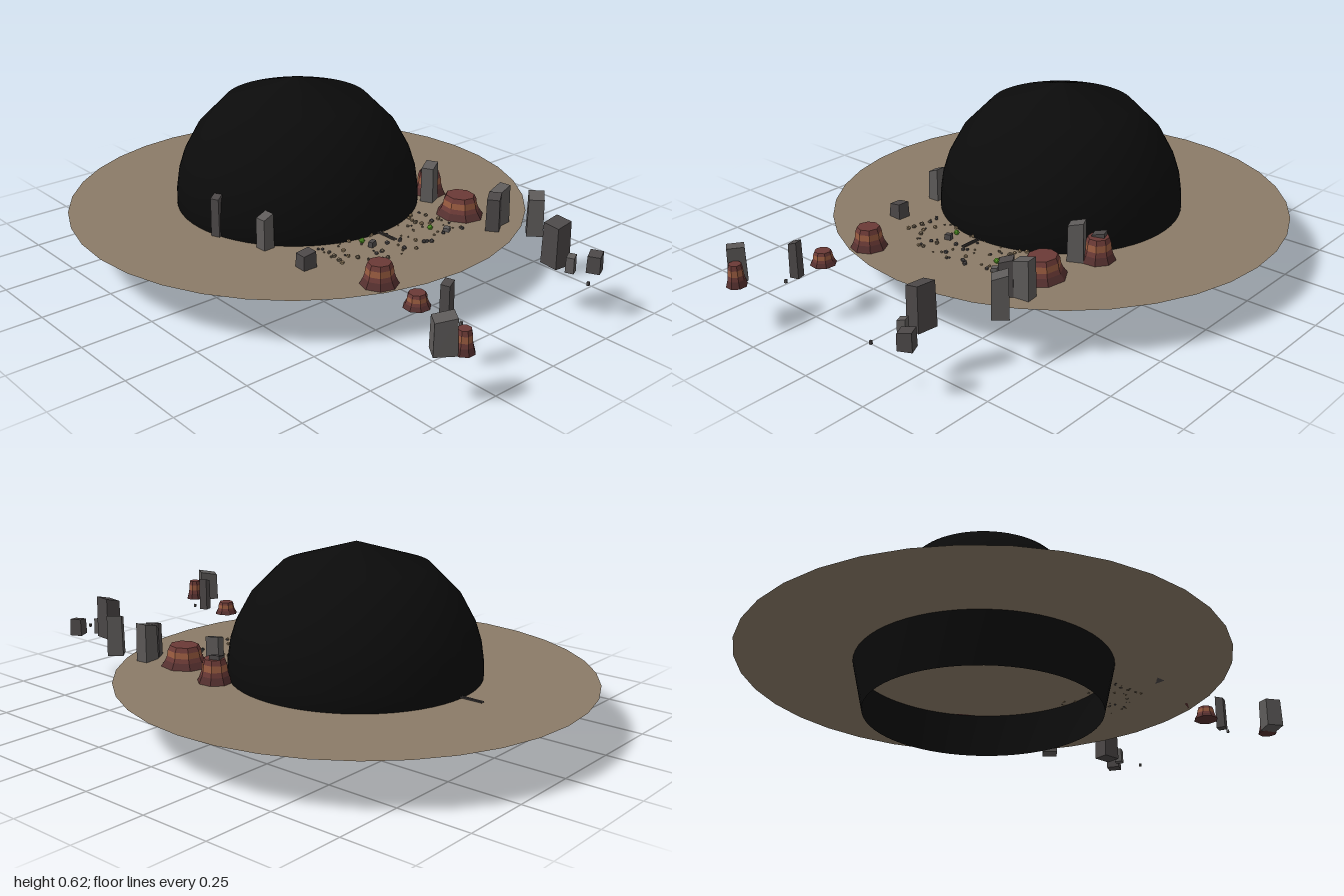
import * as THREE from 'three';

const GROUND = 0.166;

const paint = (color, flat = true, double = false) => new THREE.MeshStandardMaterial({
  color, flatShading: flat, side: double ? THREE.DoubleSide : THREE.FrontSide,
});

const sand = paint(0x8b7b67, false, true);
const black = paint(0x0b0b0b, false, true);
const stone = [paint(0x4b4747), paint(0x5d5a59)];
const redRock = paint(0x6b3a36);
const darkRed = paint(0x55302f);
const orangeRock = paint(0x9a5c40);
const pebbleMats = [paint(0x8f7a5c), paint(0x4b4747), paint(0x6f6250)];
const green = paint(0x66b82e);

function seeded(seed) {
  return () => {
    seed = (seed * 16807) % 2147483647;
    return seed / 2147483647;
  };
}

function add(parent, name, geometry, material, x = 0, y = 0, z = 0) {
  const mesh = new THREE.Mesh(geometry, material);
  mesh.name = name;
  mesh.position.set(x, y, z);
  parent.add(mesh);
  return mesh;
}

// Banded rock with a flared foot and a flat, eight-sided top
function mesa(x, z, rx, rz, height, turn) {
  const group = new THREE.Group();
  group.name = 'mesa';
  const levels = [[1, 0], [0.82, 0.3], [0.74, 0.5], [0.7, 0.78], [0.6, 1]];
  const mats = [darkRed, redRock, orangeRock, redRock];
  for (let i = 0; i < 4; i++) {
    const [r0, h0] = levels[i];
    const [r1, h1] = levels[i + 1];
    const open = i === 1 || i === 2;
    const band = new THREE.CylinderGeometry(r1, r0, h1 - h0, 8, 1, open);
    band.rotateY(turn);
    add(group, 'mesaBand', band, mats[i], 0, (h0 + h1) / 2, 0);
  }
  group.scale.set(rx, height, rz);
  group.position.set(x, GROUND, z);
  return group;
}

// Square stone pillar, tapered a little, with a slanting top
function pillar(x, z, w, d, height, turn, slant, mat) {
  const geo = new THREE.BoxGeometry(w, height, d).translate(0, height / 2, 0);
  const p = geo.attributes.position;
  for (let i = 0; i < p.count; i++) {
    if (p.getY(i) > height / 2) {
      p.setXYZ(i, p.getX(i) * 0.93, height + slant * (p.getX(i) / w - 0.5), p.getZ(i) * 0.93);
    }
  }
  geo.rotateY(turn);
  const mesh = new THREE.Mesh(geo, mat);
  mesh.name = 'stonePillar';
  mesh.position.set(x, GROUND, z);
  return mesh;
}

export function createModel() {
  const model = new THREE.Group();
  model.name = 'domeOnDesertDisk';

  // Thin round ground
  const disk = new THREE.CircleGeometry(0.81, 36).rotateX(-Math.PI / 2);
  add(model, 'groundDisk', disk, sand, 0, GROUND, -0.19);

  // Dome with an inward-leaning skirt, open below
  const profile = [
    [0.392, 0], [0.43, 0.17], [0.428, 0.225], [0.419, 0.285],
    [0.399, 0.347], [0.35, 0.437], [0.25, 0.538], [0, 0.615],
  ].map(([r, y]) => new THREE.Vector2(r, y));
  add(model, 'dome', new THREE.LatheGeometry(profile, 64), black, 0, 0, -0.19);

  // Pair of thin rails passing under the dome
  for (const x of [-0.005, 0.005]) {
    add(model, 'rail', new THREE.BoxGeometry(0.003, 0.004, 1.02), stone[0], x, 0.172, -0.19);
  }

  // Mesas: x, z, radius x, radius z, height, turn
  [
    [0.325, 0.3, 0.078, 0.088, 0.072, 0.2],
    [0.385, 0.09, 0.058, 0.062, 0.08, 0.5],
    [-0.247, 0.51, 0.062, 0.062, 0.072, 0.1],
    [-0.265, 0.692, 0.044, 0.044, 0.046, 0.3],
    [-0.353, 0.965, 0.034, 0.034, 0.074, 0.4],
  ].forEach((m) => model.add(mesa(...m)));

  // Pillars: x, z, width, depth, height, turn, slant
  [
    [-0.417, -0.1, 0.026, 0.032, 0.145, 0.4, 0.012],
    [-0.355, 0.08, 0.042, 0.042, 0.12, 0.05, 0.015],
    [-0.345, 0.277, 0.05, 0.046, 0.055, -0.05, 0.008],
    [0.335, 0.14, 0.055, 0.046, 0.138, 0.45, 0.012],
    [0.382, 0.082, 0.046, 0.038, 0.095, 0.35, 0.01],
    [0.37, 0.44, 0.062, 0.045, 0.135, 0.12, 0.015],
    [0.318, 0.462, 0.048, 0.046, 0.125, 0.6, 0.012],
    [0.395, 0.577, 0.055, 0.055, 0.145, 0.75, 0.015],
    [0.265, 0.772, 0.058, 0.07, 0.152, -0.12, 0.014],
    [0.258, 0.84, 0.028, 0.028, 0.058, 0.4, 0.006],
    [0.32, 0.885, 0.048, 0.044, 0.062, 0.45, 0.006],
    [-0.395, 0.928, 0.07, 0.06, 0.115, -0.6, 0.012],
    [-0.258, 0.805, 0.032, 0.032, 0.125, 0.3, 0.01],
    [-0.25, 0.856, 0.008, 0.008, 0.012, 0.2, 0.001],
    [0.225, 0.935, 0.008, 0.008, 0.012, 0.2, 0.001],
    [0.188, 0.372, 0.022, 0.022, 0.014, 0.5, 0.002],
    [-0.085, 0.3, 0.024, 0.018, 0.02, 0.3, 0.002],
  ].forEach((p, i) => model.add(pillar(...p, stone[i % 2])));

  // Scattered pebbles in front of the dome
  const rand = seeded(41);
  const pebbles = new THREE.Group();
  pebbles.name = 'pebbles';
  for (let i = 0; i < 80; i++) {
    const size = 0.003 + 0.005 * rand();
    const x = (rand() - 0.5) * 0.5;
    const z = 0.2 + 0.21 * rand();
    const pebble = add(pebbles, 'pebble', new THREE.DodecahedronGeometry(size), pebbleMats[i % 3],
      x, GROUND + size * 0.5, z);
    pebble.rotation.y = rand() * 3;
  }
  model.add(pebbles);

  // Two small green shrubs
  for (const [x, z] of [[-0.09, 0.256], [0.155, 0.326]]) {
    add(model, 'shrub', new THREE.IcosahedronGeometry(0.01), green, x, GROUND + 0.007, z);
  }
  return model;
}
